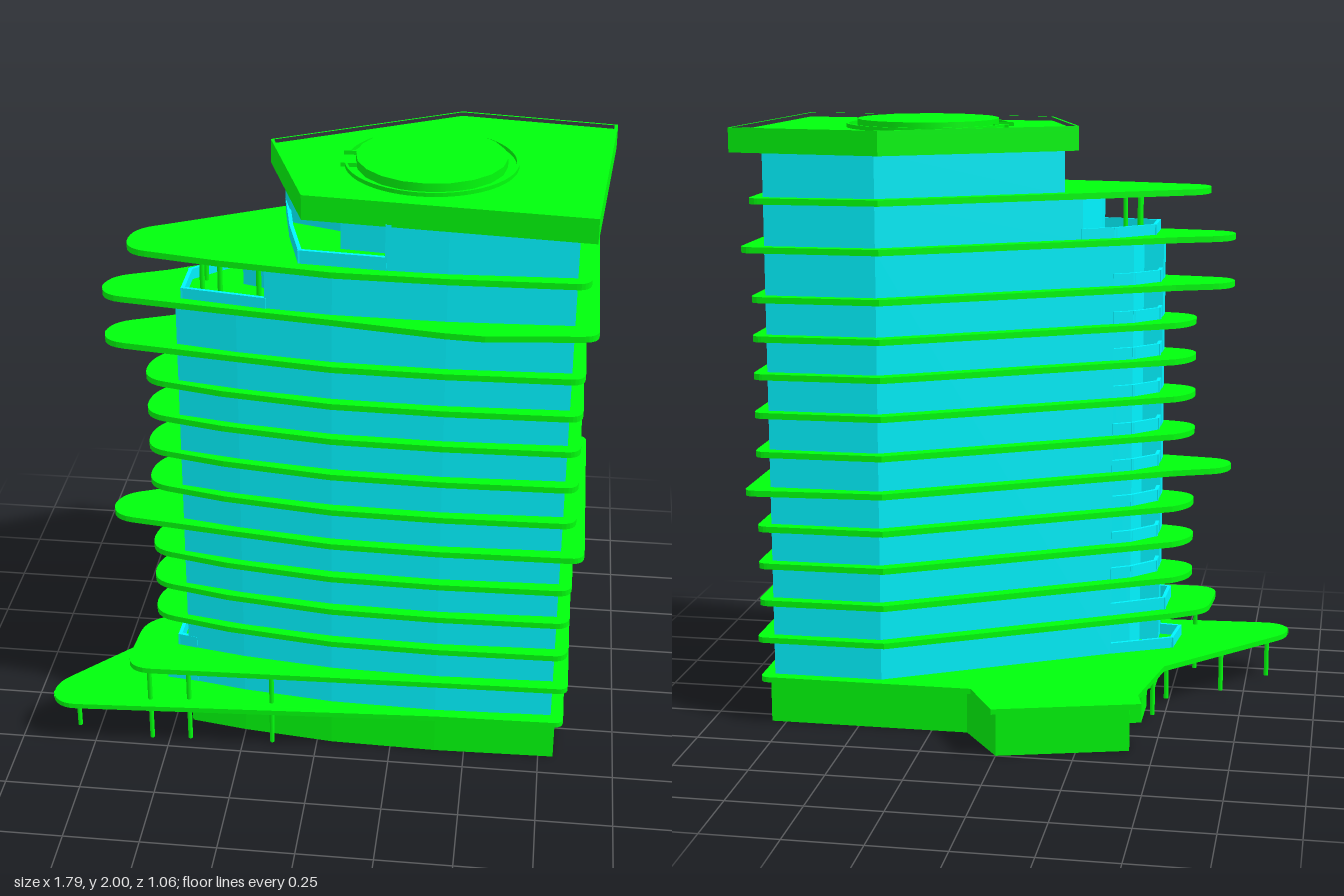
import * as THREE from 'three';

const green = new THREE.MeshStandardMaterial({ color: 0x00ff0c });
const cyan = new THREE.MeshStandardMaterial({ color: 0x00f4ff });

// Outline from [x, z, cornerRadius] points; corners with a radius are rounded.
function outline(points, Type = THREE.Shape) {
  const shape = new Type();
  const n = points.length;
  const at = (i) => new THREE.Vector2(points[(i + n) % n][0], -points[(i + n) % n][1]);
  for (let i = 0; i < n; i++) {
    const p = at(i), r = points[i][2] || 0;
    const a = at(i - 1).sub(p).setLength(r).add(p);
    const b = at(i + 1).sub(p).setLength(r).add(p);
    if (i === 0) shape.moveTo(a.x, a.y); else shape.lineTo(a.x, a.y);
    if (r) shape.quadraticCurveTo(p.x, p.y, b.x, b.y);
  }
  shape.closePath();
  return shape;
}

export function createModel() {
  const model = new THREE.Group();

  function add(name, geometry, material) {
    const mesh = new THREE.Mesh(geometry, material);
    mesh.name = name;
    model.add(mesh);
  }

  // Vertical prism between two heights
  function prism(name, points, y0, y1, material, hole) {
    const shape = outline(points);
    if (hole) shape.holes.push(outline(hole, THREE.Path));
    const geo = new THREE.ExtrudeGeometry(shape, { depth: y1 - y0, bevelEnabled: false, curveSegments: 6 });
    add(name, geo.rotateX(-Math.PI / 2).translate(0, y0, 0), material);
  }

  // Thin wall along a plan polyline
  function wall(name, path, y0, y1, material, t = 0.012) {
    for (let i = 0; i < path.length - 1; i++) {
      const [ax, az] = path[i], [bx, bz] = path[i + 1];
      const geo = new THREE.BoxGeometry(Math.hypot(bx - ax, bz - az) + t, y1 - y0, t);
      geo.rotateY(-Math.atan2(bz - az, bx - ax));
      geo.translate((ax + bx) / 2, (y0 + y1) / 2, (az + bz) / 2);
      add(name, geo, material);
    }
  }

  function column(x, z, y0, y1) {
    const geo = new THREE.CylinderGeometry(0.008, 0.008, y1 - y0, 8);
    add('column', geo.translate(x, (y0 + y1) / 2, z), green);
  }

  // Podium with rear wing and entrance notch
  prism('podium', [
    [0.8, -0.31], [0.13, -0.31], [0, -0.5], [-0.42, -0.385], [-0.41, -0.29], [-0.35, -0.26, 0.03],
    [-0.34, -0.15, 0.03], [-0.43, -0.12], [-0.43, 0.05], [-0.3, 0.1], [-0.44, 0.24], [-0.44, 0.345],
    [-0.25, 0.378], [0.05, 0.412], [0.4, 0.42], [0.8, 0.41],
  ], 0, 0.152, green);
  prism('podiumCanopy', [
    [0.827, -0.35, 0.03], [0.11, -0.35], [0.01, -0.53], [-0.46, -0.4], [-0.44, -0.32], [-0.495, -0.02],
    [-0.905, 0.425, 0.07], [-0.875, 0.53, 0.07], [0.2, 0.468], [0.4, 0.457], [0.827, 0.447, 0.03],
  ], 0.15, 0.168, green);

  // Tower glazing with a recessed corner at the narrow end
  const front = [[-0.25, 0.378], [0.05, 0.412], [0.4, 0.42], [0.785, 0.405]];
  const back = [[0.785, -0.31], [0.42, -0.31]];
  prism('towerGlazing', [
    ...back, [-0.3, 0.085], [-0.26, 0.16], [-0.35, 0.21], [-0.38, 0.26], [-0.445, 0.27], [-0.445, 0.342], ...front,
  ], 0.165, 1.6, cyan);

  // Floor slabs: tip reach, right reach, rear corner and front bulge
  const slab = (tip, right = 0.827, rear = -0.349, bulge = 0) => {
    const big = tip < -0.65;
    return [
      [right, rear, 0.035], [0.4, -0.347], [-0.5, 0.14],
      [tip, big ? 0.215 : 0.19, 0.07], [tip - 0.005, big ? 0.345 : 0.34, 0.075],
      [-0.3, 0.4], [0.05, 0.447], [0.4, 0.455 + bulge * 0.8], [0.52, 0.452 + bulge],
      [right, 0.445 + bulge * 0.45, 0.045],
    ];
  };
  const levels = [
    [0.425, -0.558], [0.552, -0.558], [0.678, -0.558], [0.803, -0.684, 0.86, -0.368], [0.93, -0.558],
    [1.06, -0.558], [1.188, -0.558], [1.312, -0.558], [1.44, -0.684], [1.6, -0.684, 0.859, -0.345, 0.055],
    [1.757, -0.6],
  ];
  for (const [y, ...reach] of levels) prism('floorSlab', slab(...reach), y - 0.01, y + 0.01, green);
  prism('lowerFloorSlab', [
    [0.835, -0.349, 0.03], [0.4, -0.347], [-0.5, 0.14], [-0.62, 0.22, 0.06], [-0.64, 0.49, 0.09],
    [0.2, 0.465], [0.45, 0.457], [0.835, 0.447, 0.03],
  ], 0.287, 0.306, green);

  // Balcony parapets at the narrow end
  const balcony = [[-0.3, 0.09], [-0.36, 0.125], [-0.437, 0.21], [-0.437, 0.29]];
  for (const [y] of levels.slice(0, 9)) wall('balconyParapet', balcony, y + 0.01, y + 0.05, cyan);
  wall('balconyParapet', [[-0.3, 0.09], [-0.47, 0.19], [-0.475, 0.33], [-0.42, 0.342]], 0.305, 0.348, cyan);
  wall('balconyParapet', [[-0.3, 0.09], [-0.5, 0.19], [-0.515, 0.33], [-0.42, 0.342]], 0.165, 0.205, cyan);

  // Set-back storey with its terrace
  prism('upperGlazing', [...back, [-0.2, 0.03], [-0.25, 0.13], [-0.25, 0.22], [-0.16, 0.25], [-0.16, 0.388],
    ...front.slice(1)], 1.605, 1.76, cyan);
  wall('terraceParapet', [[-0.2, 0.035], [-0.3, 0.09], [-0.42, 0.2], [-0.42, 0.342], [-0.16, 0.385]], 1.608, 1.645, cyan);
  for (const [x, z] of [[-0.37, 0.2], [-0.36, 0.33], [-0.31, 0.3], [-0.18, 0.36]]) column(x, z, 1.605, 1.75);

  // Top storey with its corner terrace
  prism('topGlazing', [...back, [-0.145, -0.005], [-0.12, 0.08], [0.06, 0.14], [0.06, 0.27], [0.21, 0.29],
    [0.21, 0.415], ...front.slice(2)], 1.76, 1.915, cyan);
  wall('topParapet', [[-0.138, 0], [-0.1, 0.2], [-0.05, 0.388], [0.21, 0.41]], 1.765, 1.81, cyan);

  // Roof slab, rim and round rooftop platform
  const roof = [[-0.198, -0.06], [0.39, -0.382], [0.893, -0.315], [0.835, 0.472], [-0.045, 0.39]];
  const inner = roof.map(([x, z]) => [0.35 + (x - 0.35) * 0.98, 0.03 + (z - 0.03) * 0.98]);
  prism('roofSlab', roof, 1.908, 1.972, green);
  prism('roofRim', roof, 1.972, 1.987, green, inner);
  add('roofPlatform', new THREE.CylinderGeometry(0.235, 0.235, 0.03, 20).translate(0.32, 1.985, 0.055), green);
  const ring = new THREE.Shape();
  ring.absarc(0, 0, 0.27, -Math.PI + 0.2, Math.PI - 0.2, false);
  ring.absarc(0, 0, 0.262, Math.PI - 0.2, -Math.PI + 0.2, true);
  const ringGeo = new THREE.ExtrudeGeometry(ring, { depth: 0.015, bevelEnabled: false, curveSegments: 32 });
  add('platformRing', ringGeo.rotateX(-Math.PI / 2).translate(0.32, 1.97, 0.055), green);
  for (const z of [0.003, 0.107]) {
    add('platformStep', new THREE.BoxGeometry(0.055, 0.015, 0.008).translate(0.07, 1.9775, z), green);
  }

  // Canopy columns
  for (const [x, z] of [[-0.82, 0.42], [-0.67, 0.235], [-0.56, 0.46], [-0.49, 0.12], [-0.46, -0.05],
    [-0.43, 0.45], [-0.15, 0.44]]) column(x, z, 0.005, 0.152);
  for (const [x, z] of [[-0.56, 0.465], [-0.43, 0.45], [-0.15, 0.44]]) column(x, z, 0.165, 0.29);

  return model;
}
